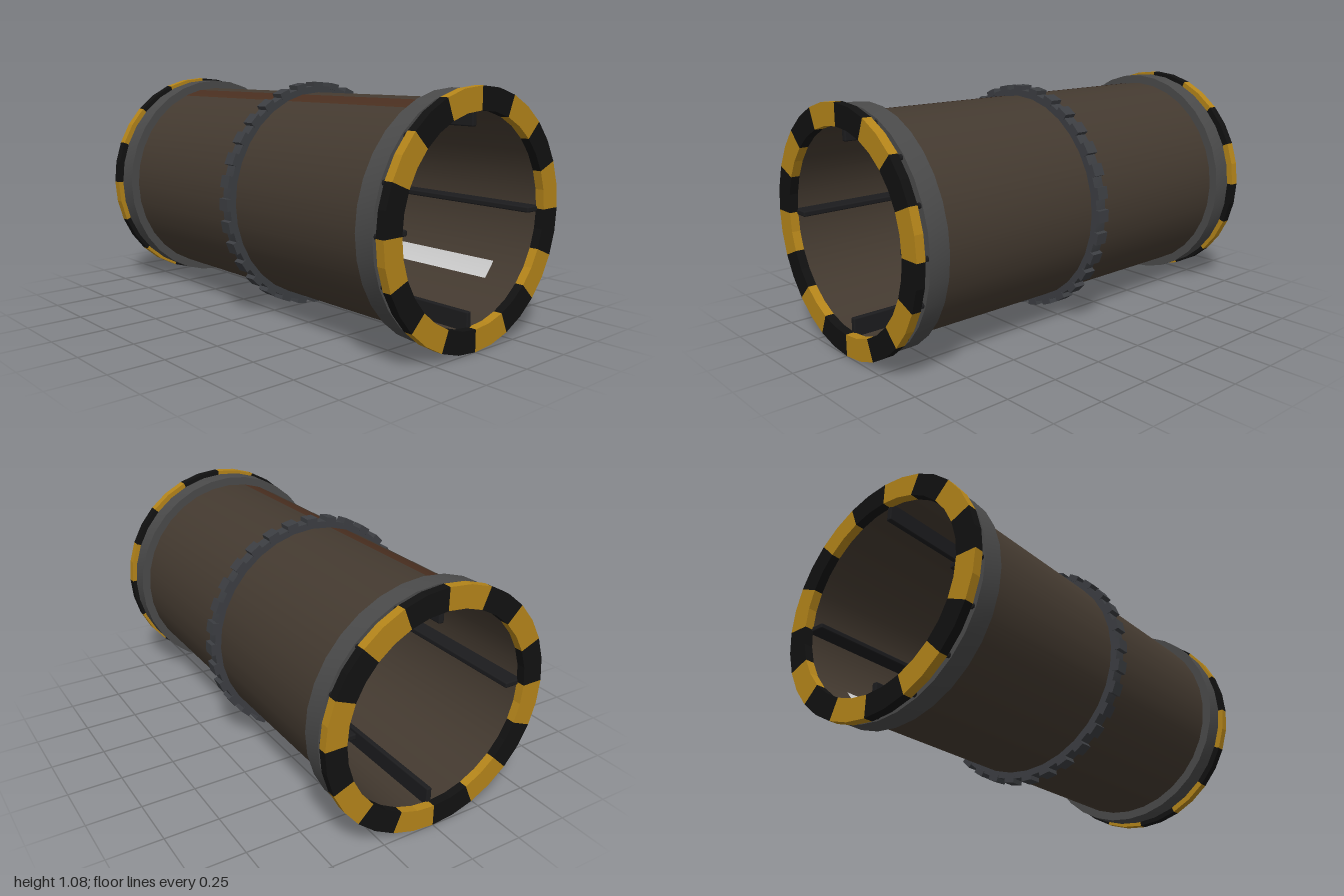
import * as THREE from 'three';
import { toCreasedNormals } from 'three/addons/utils/BufferGeometryUtils.js';
import { RoundedBoxGeometry } from 'three/addons/geometries/RoundedBoxGeometry.js';

const SIDES = 32;
const STEP = (Math.PI * 2) / SIDES;

const material = (color, options = {}) => new THREE.MeshStandardMaterial({ color, ...options });

function addMesh(parent, name, geometry, mat) {
  const mesh = new THREE.Mesh(geometry, mat);
  mesh.name = name;
  parent.add(mesh);
  return mesh;
}

// Hollow ring around the x axis, between x0 and x1.
function ring(inner, outer, x0, x1) {
  const profile = [[inner, x0], [outer, x0], [outer, x1], [inner, x1], [inner, x0]];
  const geometry = new THREE.LatheGeometry(profile.map(([r, y]) => new THREE.Vector2(r, y)), SIDES);
  geometry.rotateZ(-Math.PI / 2);
  return toCreasedNormals(geometry, 0.5);
}

// One flat facet along the pipe; the angle runs from the top towards +z.
function facet(radius, angle, length) {
  const geometry = new THREE.CylinderGeometry(radius, radius, length, 1, 1, true, angle - Math.PI / 2, STEP);
  return geometry.rotateZ(-Math.PI / 2);
}

// Two-facet block of the striped end ring, starting at the given angle.
function stripeBlock(angle, inner, outer, depth) {
  const at = (r, i) => new THREE.Vector2(-Math.sin(angle + i * STEP) * r, Math.cos(angle + i * STEP) * r);
  const shape = new THREE.Shape([
    at(outer, 0), at(outer, 1), at(outer, 2), at(inner, 2), at(inner, 1), at(inner, 0),
  ]);
  const geometry = new THREE.ExtrudeGeometry(shape, { depth, bevelEnabled: false });
  return geometry.rotateY(Math.PI / 2);
}

export function createModel() {
  const model = new THREE.Group();
  model.name = 'pipeSection';
  const pipe = new THREE.Group();
  pipe.name = 'pipe';
  pipe.position.y = 0.539;
  model.add(pipe);

  const wall = material(0x443a30);
  const rust = material(0x4a2f20, { side: THREE.DoubleSide });
  const light = material(0xcccccc, { side: THREE.DoubleSide });
  const steel = material(0x4a4a4a);
  const toothSteel = material(0x3c3e42);
  const dark = material(0x1c1c1e);
  const yellow = material(0xb5851a, { flatShading: true });
  const black = material(0x111111, { flatShading: true });

  // Pipe wall with a rusty strip outside and a pale strip inside
  addMesh(pipe, 'wall', ring(0.46, 0.487, -0.96, 0.96), wall);
  addMesh(pipe, 'rustStrip', facet(0.488, STEP, 1.68), rust);
  addMesh(pipe, 'innerPanel', facet(0.458, 20 * STEP, 1.58), light);

  // Toothed band around the middle
  addMesh(pipe, 'middleBand', ring(0.48, 0.518, -0.028, 0.028), toothSteel);
  const toothGeometry = new THREE.BoxGeometry(0.06, 0.03, 0.055);
  for (let i = 0; i < SIDES; i++) {
    const a = i * STEP;
    const tooth = addMesh(pipe, 'bandTooth', toothGeometry, toothSteel);
    tooth.position.set(0, Math.cos(a) * 0.52, Math.sin(a) * 0.52);
    tooth.rotation.x = a;
  }

  // Collars, bolts and striped rings at both ends
  const boltGeometry = new THREE.CylinderGeometry(0.012, 0.012, 0.02, 8).rotateZ(Math.PI / 2);
  for (const side of [-1, 1]) {
    const end = new THREE.Group();
    end.name = side > 0 ? 'leftEnd' : 'rightEnd';
    pipe.add(end);
    const collar = addMesh(end, 'collar', ring(0.48, 0.528, -0.046, 0.046), steel);
    collar.position.x = side * 0.886;
    for (let i = 0; i < 16; i++) {
      const a = i * 2 * STEP;
      const bolt = addMesh(end, 'collarBolt', boltGeometry, dark);
      bolt.position.set(side * 0.932, Math.cos(a) * 0.51, Math.sin(a) * 0.51);

      const block = addMesh(end, 'stripeBlock', stripeBlock(a, 0.442, 0.539, 0.04), i % 2 ? black : yellow);
      block.position.x = side > 0 ? 0.96 : -1;
    }
  }

  // Four guide rails along the inside
  const railGeometry = new RoundedBoxGeometry(1.93, 0.088, 0.025, 2, 0.006);
  for (let i = 0; i < 4; i++) {
    const a = (i * Math.PI) / 2;
    const rail = addMesh(pipe, 'guideRail', railGeometry, dark);
    rail.position.set(0, Math.cos(a) * 0.421, Math.sin(a) * 0.421);
    rail.rotation.x = a;
  }

  return model;
}
